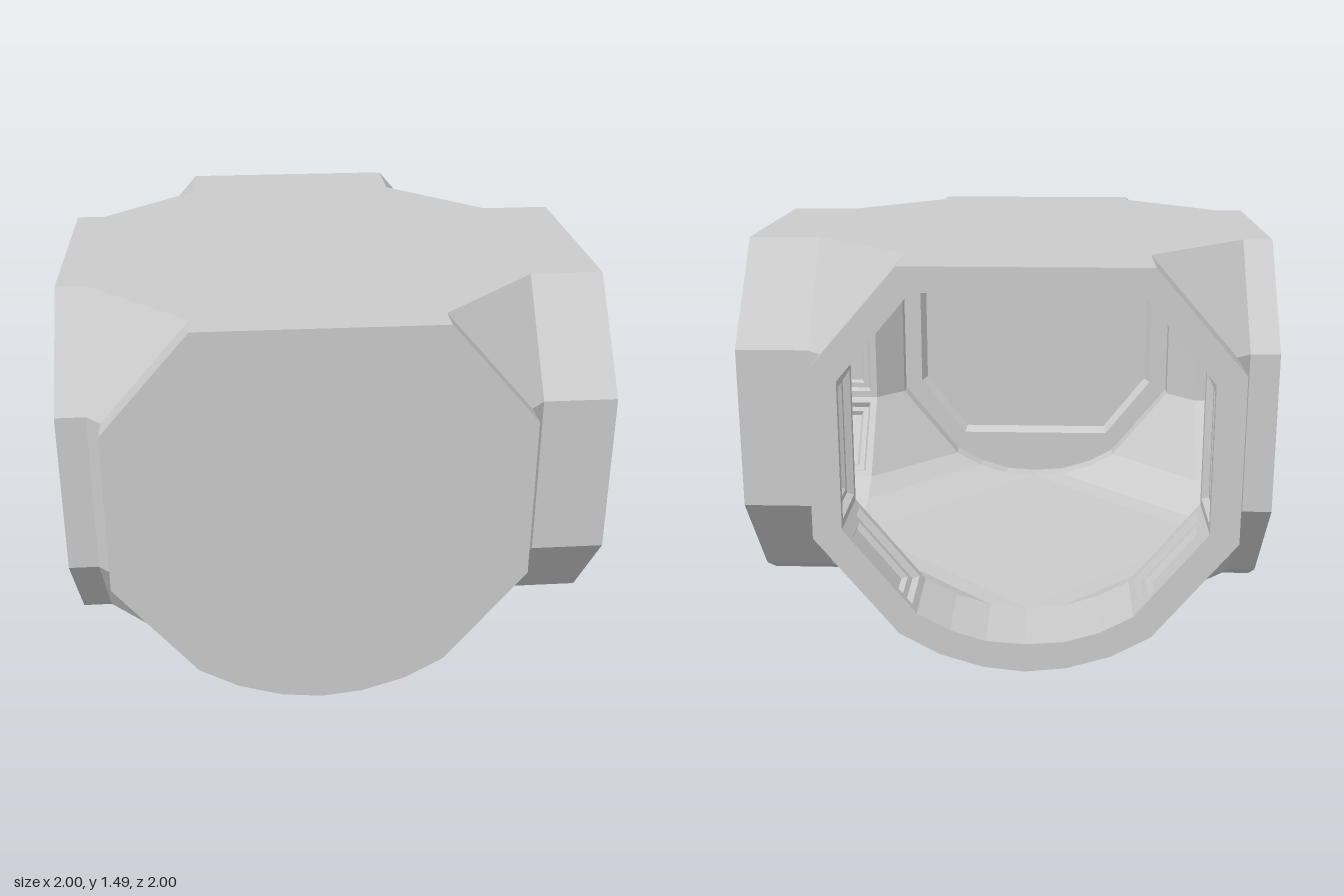
import * as THREE from 'three';

// Half cross-sections [halfWidth, height], from bottom centre up to the roof edge
const OUTER = [[0, 0], [0.15, 0.016], [0.31, 0.065], [0.455, 0.145], [0.755, 0.51], [0.755, 1.12], [0.435, 1.49]];
const INNER = [[0, 0.11], [0.14, 0.12], [0.27, 0.16], [0.39, 0.225], [0.65, 0.545], [0.65, 1.09], [0.39, 1.4]];
const PANEL = [[0, 0.31], [0.12, 0.31], [0.24, 0.31], [0.355, 0.31], [0.57, 0.58], [0.57, 1.06], [0.355, 1.32]];
const PANEL_IN = [[0, 0.335], [0.115, 0.335], [0.23, 0.335], [0.345, 0.335], [0.545, 0.59], [0.545, 1.05], [0.345, 1.295]];

const OUTER_D = 0.81, INNER_D = 0.77; // where the arms begin
const WALL_D = 0.85, RECESS_D = 0.89; // inside of the closed ends
// Arms in order +z, +x, -z, -x
const ARMS = [
  { end: 0.92, open: false }, { end: 1.08, open: true },
  { end: 1.08, open: true }, { end: 0.92, open: false },
];

// Point on arm k: u sideways, y up, d outward
function at(k, u, y, d) {
  return [[u, y, d], [d, y, -u], [-u, y, -d], [-d, y, u]][k % 4];
}

// Closed loop of a mirrored half section on arm k, counter-clockwise from outside
function ring(k, half, d) {
  const left = half.slice(1).reverse().map(([u, y]) => [-u, y]);
  return [...half, ...left].map(([u, y]) => at(k, u, y, d));
}

// Collects flat polygons into one mesh
class Faces {
  constructor() { this.pos = []; }
  poly(pts, flip = false) {
    const p = flip ? [...pts].reverse() : pts;
    for (let i = 1; i < p.length - 1; i++) this.pos.push(...p[0], ...p[i], ...p[i + 1]);
  }
  bridge(a, b, flip = false, skip = () => false) {
    a.forEach((_, i) => {
      const j = (i + 1) % a.length;
      if (!skip(i)) this.poly([a[i], a[j], b[j], b[i]], flip);
    });
  }
  mesh(name) {
    const geo = new THREE.BufferGeometry();
    geo.setAttribute('position', new THREE.Float32BufferAttribute(this.pos, 3));
    geo.computeVertexNormals();
    const mesh = new THREE.Mesh(geo, new THREE.MeshStandardMaterial({ color: 0xcccccc, flatShading: true }));
    mesh.name = name;
    return mesh;
  }
}

// Chamfered corners, roof and floor where the four arms meet
function crossing(faces, half, d, flip) {
  const roof = [], floor = [];
  const [topU, topY] = half[half.length - 1];
  for (let k = 0; k < 4; k++) {
    for (let i = 0; i < half.length - 1; i++) {
      const [u0, y0] = half[i], [u1, y1] = half[i + 1];
      faces.poly([at(k, u0, y0, d), at(k + 1, -u0, y0, d), at(k + 1, -u1, y1, d), at(k, u1, y1, d)], flip);
    }
    roof.push(at(k, -topU, topY, d), at(k, topU, topY, d));
    floor.push(at(k, 0, half[0][1], d));
  }
  faces.poly(roof, flip);
  faces.poly(floor, !flip);
}

// Rectangular face with a twice-stepped recess
function recessedPanel(faces, corners) {
  const [a, b, c, d] = corners.map((p) => new THREE.Vector3(...p));
  const e1 = b.clone().sub(a).normalize(), e2 = d.clone().sub(a).normalize();
  const n = e1.clone().cross(e2);
  const signs = [[1, 1], [-1, 1], [-1, -1], [1, -1]];
  const steps = [[0, 0], [0.03, 0], [0.042, 0.025], [0.065, 0.025], [0.077, 0.045]];
  const loops = steps.map(([inset, depth]) => [a, b, c, d].map((p, i) => p.clone()
    .addScaledVector(e1, signs[i][0] * inset)
    .addScaledVector(e2, signs[i][1] * inset)
    .addScaledVector(n, -depth).toArray()));
  for (let i = 0; i < loops.length - 1; i++) faces.bridge(loops[i], loops[i + 1]);
  faces.poly(loops[loops.length - 1]);
}

export function createModel() {
  const hull = new Faces(), lining = new Faces(), rims = new Faces();
  const sidePanels = new Faces(), endWalls = new Faces();

  crossing(hull, OUTER, OUTER_D, false);
  crossing(lining, INNER, INNER_D, true);

  const panelEdges = [3, 4, 5, 7, 8, 9];
  ARMS.forEach(({ end, open }, k) => {
    const outerEnd = ring(k, OUTER, end);
    hull.bridge(ring(k, OUTER, OUTER_D), outerEnd);
    const start = ring(k, INNER, INNER_D);
    const stop = ring(k, INNER, open ? end : WALL_D);
    lining.bridge(start, stop, true, (i) => open && panelEdges.includes(i));

    if (open) {
      // Doorway rim and three recessed panels on each side
      rims.bridge(outerEnd, stop);
      for (const i of panelEdges) recessedPanel(sidePanels, [stop[i], stop[i + 1], start[i + 1], start[i]]);
    } else {
      // Outer cap and inner wall with an eight-sided recess
      hull.poly(outerEnd);
      const edge = ring(k, PANEL, WALL_D), back = ring(k, PANEL_IN, RECESS_D);
      endWalls.bridge(stop, edge, true);
      endWalls.bridge(edge, back, true);
      endWalls.poly(back, true);
    }
  });

  const body = new THREE.Group();
  body.name = 'corridorJunction';
  body.add(hull.mesh('outerHull'), lining.mesh('innerLining'), rims.mesh('doorwayRims'),
    sidePanels.mesh('sidePanels'), endWalls.mesh('endWalls'));
  body.position.set(-0.08, 0, 0.08);

  const model = new THREE.Group();
  model.add(body);
  return model;
}
